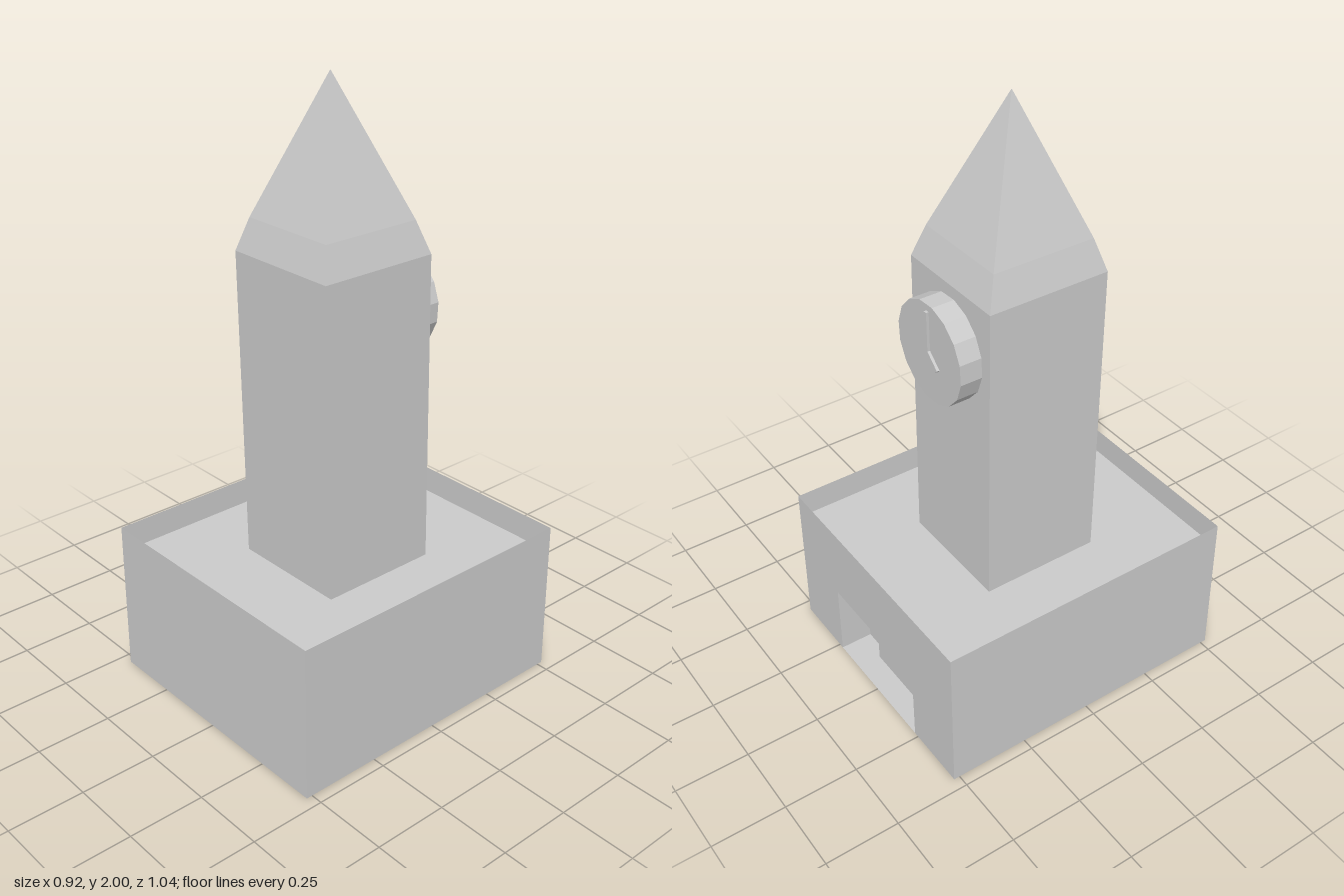
import * as THREE from 'three';

const W = 0.46, D = 0.52, H = 0.52;      // base half width, half depth, height
const ROOF = 0.43;                       // sunken roof level
const NX = 0.232, NY = 0.26, ND = 0.11;  // entrance recess half width, height, depth

const solid = new THREE.MeshStandardMaterial({ color: 0xcccccc, flatShading: true });
const sheet = new THREE.MeshStandardMaterial({ color: 0xcccccc, flatShading: true, side: THREE.DoubleSide });

function add(parent, name, geometry, material = solid) {
  const mesh = new THREE.Mesh(geometry, material);
  mesh.name = name;
  parent.add(mesh);
  return mesh;
}

// Thin rectangular panel, turned and then placed by its centre
function panel(parent, name, w, h, [x, y, z], rx = 0, ry = 0) {
  const mesh = add(parent, name, new THREE.PlaneGeometry(w, h), sheet);
  mesh.rotation.set(rx, ry, 0);
  mesh.position.set(x, y, z);
}

// Closed solid through square cross-sections [y, half width, zBack, zFront]
function loft(sections) {
  const rings = sections.map(([y, w, zb, zf]) => [[-w, y, zf], [w, y, zf], [w, y, zb], [-w, y, zb]]);
  const pos = [];
  const quad = (a, b, c, d) => pos.push(...a, ...b, ...c, ...a, ...c, ...d);
  for (let i = 0; i < rings.length - 1; i++) {
    const lo = rings[i], hi = rings[i + 1];
    for (let k = 0; k < 4; k++) {
      const n = (k + 1) % 4;
      quad(lo[k], lo[n], hi[n], hi[k]);
    }
  }
  const [a, b, c, d] = rings[0];
  quad(d, c, b, a);
  const g = new THREE.BufferGeometry();
  g.setAttribute('position', new THREE.Float32BufferAttribute(pos, 3));
  g.computeVertexNormals();
  return g;
}

const outline = pts => new THREE.Shape(pts.map(([x, y]) => new THREE.Vector2(x, y)));

function createBase() {
  const base = new THREE.Group();
  base.name = 'base';
  const q = Math.PI / 2;

  // Outer walls, rising past the roof as a thin parapet
  panel(base, 'frontWall', 2 * W, H, [0, H / 2, D]);
  for (const s of [-1, 1]) panel(base, s > 0 ? 'leftWall' : 'rightWall', 2 * D, H, [s * W, H / 2, 0], 0, s * q);
  panel(base, 'flatRoof', 2 * W, 2 * D, [0, ROOF, 0], -q);
  panel(base, 'floor', 2 * W, 2 * D, [0, 0, 0], q);

  // Back wall with the entrance cut out
  const back = outline([[-W, 0], [-NX, 0], [-NX, NY], [NX, NY], [NX, 0], [W, 0], [W, H], [-W, H]]);
  const wall = add(base, 'backWall', new THREE.ShapeGeometry(back), sheet);
  wall.rotation.y = Math.PI;
  wall.position.z = -D;

  // Entrance recess
  const zm = -D + ND / 2;
  panel(base, 'recessBack', 2 * NX, NY, [0, NY / 2, -D + ND], 0, Math.PI);
  panel(base, 'recessCeiling', 2 * NX, ND, [0, NY, zm], q);
  for (const s of [-1, 1]) panel(base, 'recessSide', ND, NY, [s * NX, NY / 2, zm], 0, -s * q);

  // Door with clipped upper corners
  const door = outline([[-0.12, 0.002], [0.12, 0.002], [0.12, 0.19], [0.075, 0.245], [-0.075, 0.245], [-0.12, 0.19]]);
  add(base, 'door', new THREE.ExtrudeGeometry(door, { depth: 0.035, bevelEnabled: false }))
    .position.z = -D + ND - 0.03;
  return base;
}

function createClock() {
  const clock = new THREE.Group();
  clock.name = 'clock';
  const R = 0.167;
  const dial = new THREE.CylinderGeometry(R, R, 0.08, 16, 1, false, THREE.MathUtils.degToRad(98));
  add(clock, 'clockDial', dial.rotateX(Math.PI / 2)).position.z = -0.231;

  // Hands run from the middle of the dial to their tips
  for (const [name, x, y] of [['minuteHand', 0, 0.135], ['hourHand', -0.05, -0.045]]) {
    const hand = add(clock, name, new THREE.BoxGeometry(0.012, Math.hypot(x, y), 0.012));
    hand.position.set(x / 2, y / 2 + 0.008, -0.274);
    hand.rotation.z = Math.atan2(-x, y);
  }
  clock.position.y = 1.255;
  return clock;
}

export function createModel() {
  const model = new THREE.Group();
  model.name = 'clockTower';
  model.add(createBase());

  // Slightly leaning shaft and the two-pitch spire
  add(model, 'towerShaft', loft([[ROOF, 0.204, -0.208, 0.2], [1.46, 0.204, -0.195, 0.218]]));
  add(model, 'spire', loft([
    [1.46, 0.204, -0.195, 0.218],
    [1.565, 0.171, -0.16, 0.188],
    [2, 0.0005, 0.0205, 0.0215],
  ]));

  model.add(createClock());
  return model;
}
